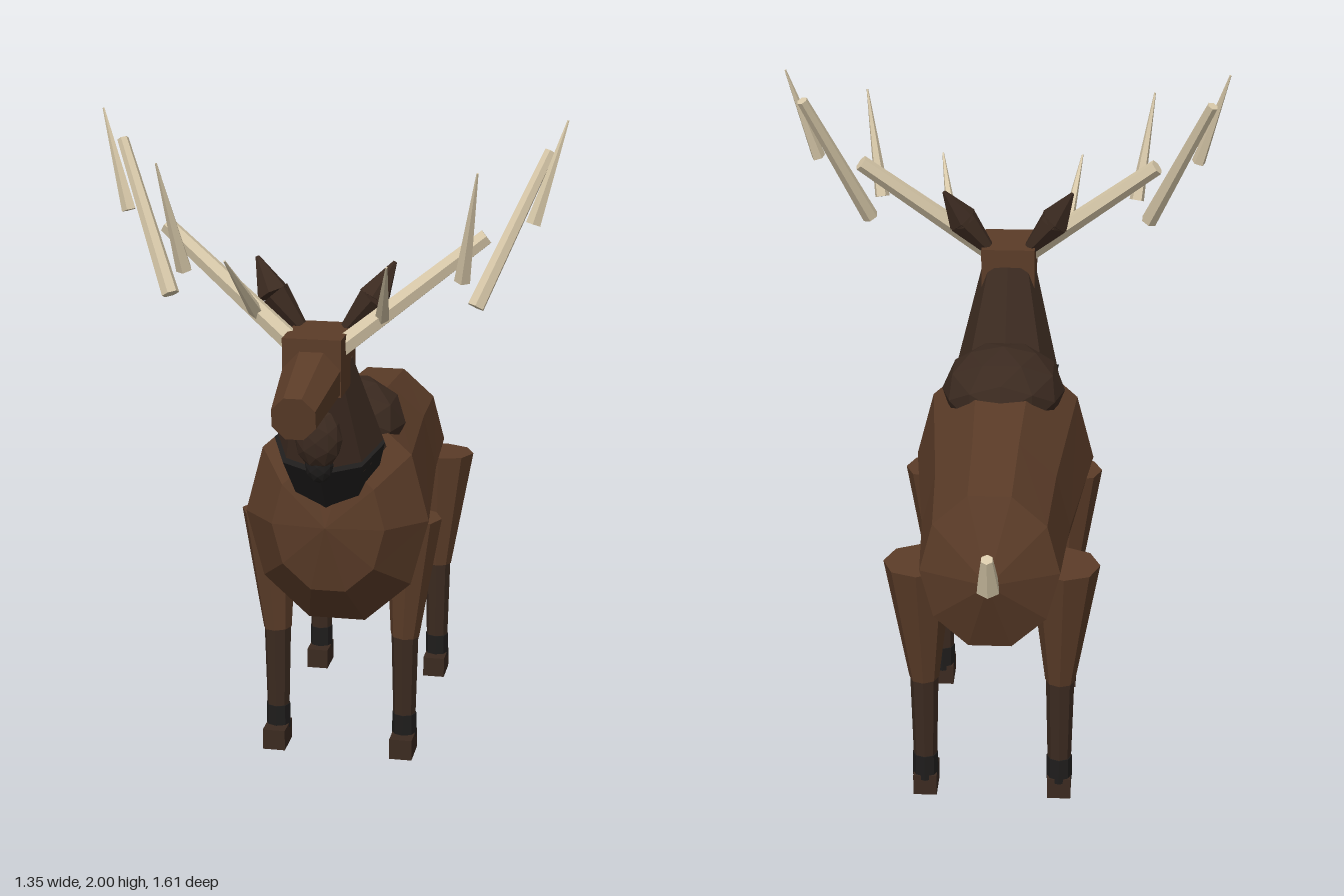
import * as THREE from 'three';

const mat = (name, color) => Object.assign(new THREE.MeshStandardMaterial({ color }), { name });

export function createModel() {
  const model = new THREE.Group();
  const coat = mat('brownCoat', 0x5b3c28);
  const dark = mat('darkBrownFur', 0x3b2a20);
  const black = mat('blackFur', 0x1f1d1c);
  const bone = mat('paleAntler', 0xd6c7a8);

  // Faceted mesh: every face keeps its own normal
  function add(name, geometry, material, parent = model) {
    const g = geometry.index ? geometry.toNonIndexed() : geometry;
    g.computeVertexNormals();
    const mesh = new THREE.Mesh(g, material);
    mesh.name = name;
    parent.add(mesh);
    return mesh;
  }

  // Tapered rod from point a (radius ra) to point b (radius rb)
  function rod(name, a, b, ra, rb, sides, material, parent = model, turn = 0) {
    const A = new THREE.Vector3(...a), B = new THREE.Vector3(...b);
    const dir = B.clone().sub(A);
    const g = new THREE.CylinderGeometry(rb, ra, dir.length(), sides, 1, false, turn);
    const mesh = add(name, g, material, parent);
    mesh.quaternion.setFromUnitVectors(new THREE.Vector3(0, 1, 0), dir.normalize());
    mesh.position.copy(A).add(B).multiplyScalar(0.5);
    return mesh;
  }

  // Faceted ellipsoid
  function blob(name, pos, size, material, detail = 1) {
    const g = new THREE.IcosahedronGeometry(1, detail);
    g.scale(...size).translate(...pos);
    return add(name, g, material);
  }

  // Skin over elliptical rings [z, centreY, radiusX, radiusY], front to back
  function loft(rings, sides) {
    const at = ([z, y, rx, ry], i) => {
      const t = (i / sides) * Math.PI * 2;
      return [rx * Math.cos(t), y + ry * Math.sin(t), z];
    };
    const p = [];
    for (let r = 0; r < rings.length - 1; r++) {
      const a = rings[r], b = rings[r + 1];
      for (let i = 0; i < sides; i++) {
        if (b[2] > 0) p.push(...at(a, i), ...at(b, i), ...at(b, i + 1));
        if (a[2] > 0) p.push(...at(a, i), ...at(b, i + 1), ...at(a, i + 1));
      }
    }
    return new THREE.BufferGeometry().setAttribute('position', new THREE.Float32BufferAttribute(p, 3));
  }

  // Body with rounded chest and pointed rump
  add('body', loft([
    [0.375, 0.8, 0, 0],
    [0.33, 0.79, 0.17, 0.21],
    [0.19, 0.78, 0.28, 0.347],
    [-0.35, 0.785, 0.22, 0.279],
    [-0.66, 0.785, 0.2, 0.247],
    [-0.75, 0.785, 0, 0],
  ], 10), coat);
  blob('shoulderHump', [0, 1.05, 0.08], [0.19, 0.14, 0.2], dark);
  rod('tail', [0, 0.77, -0.735], [0, 0.887, -0.79], 0.036, 0.018, 6, bone);

  // Neck, ruff and throat bell
  rod('neck', [0, 1.03, 0.273], [0, 1.33, 0.4], 0.165, 0.088, 8, dark);
  rod('neckRuff', [0, 0.9, 0.24], [0, 1.05, 0.3], 0.125, 0.165, 8, black);
  blob('throatBell', [0, 1.1, 0.46], [0.07, 0.09, 0.05], dark);
  blob('throatBellTip', [0, 1.02, 0.452], [0.042, 0.055, 0.034], black);

  // Head
  add('head', new THREE.BoxGeometry(0.168, 0.165, 0.22), coat).position.set(0, 1.333, 0.445);
  rod('muzzle', [0, 1.297, 0.54], [0, 1.252, 0.795], 0.09, 0.066, 8, coat, model, Math.PI / 8);

  for (const s of [1, -1]) {
    const side = s > 0 ? 'left' : 'right';
    const m = ([x, y, z]) => [x * s, y, z];

    // Ear: widens to the middle, then narrows to a tip
    const ear = new THREE.Group();
    ear.name = side + 'Ear';
    model.add(ear);
    rod('earBase', m([0.068, 1.41, 0.385]), m([0.145, 1.5, 0.38]), 0.022, 0.05, 6, dark, ear);
    rod('earTip', m([0.145, 1.5, 0.38]), m([0.2, 1.6, 0.345]), 0.05, 0.006, 6, dark, ear);

    // Antler: two beams and three tines
    const antler = new THREE.Group();
    antler.name = side + 'Antler';
    model.add(antler);
    const antlerParts = [
      ['lowerBeam', [0.06, 1.37, 0.465], [0.46, 1.685, 0.362], 0.032, 0.025, 6],
      ['upperBeam', [0.44, 1.495, 0.415], [0.62, 1.91, 0.243], 0.026, 0.017, 6],
      ['browTine', [0.18, 1.455, 0.44], [0.225, 1.645, 0.635], 0.022, 0.003, 5],
      ['middleTine', [0.4, 1.565, 0.405], [0.45, 1.885, 0.5], 0.024, 0.003, 5],
      ['topTine', [0.585, 1.715, 0.315], [0.67, 2.0, 0.26], 0.022, 0.003, 5],
    ];
    for (const [name, a, b, ra, rb, n] of antlerParts) rod(name, m(a), m(b), ra, rb, n, bone, antler);

    // Legs: [name, ankle z, thigh z, thigh x, thigh radius]
    for (const [name, z, topZ, topX, r] of [
      ['FrontLeg', 0.127, 0.12, 0.222, 0.087],
      ['HindLeg', -0.55, -0.565, 0.21, 0.102],
    ]) {
      const leg = new THREE.Group();
      leg.name = side + name;
      model.add(leg);
      rod('upperLeg', m([0.2, 0.385, z]), m([topX, 0.77, topZ]), 0.044, r, 8, coat, leg);
      rod('lowerLeg', m([0.2, 0.12, z]), m([0.2, 0.395, z]), 0.035, 0.042, 8, dark, leg);
      rod('fetlock', m([0.2, 0.05, z]), m([0.2, 0.13, z]), 0.038, 0.038, 8, black, leg);
      add('hoof', new THREE.BoxGeometry(0.07, 0.065, 0.106), dark, leg)
        .position.set(0.2 * s, 0.0325, z + 0.02);
    }
  }
  return model;
}
